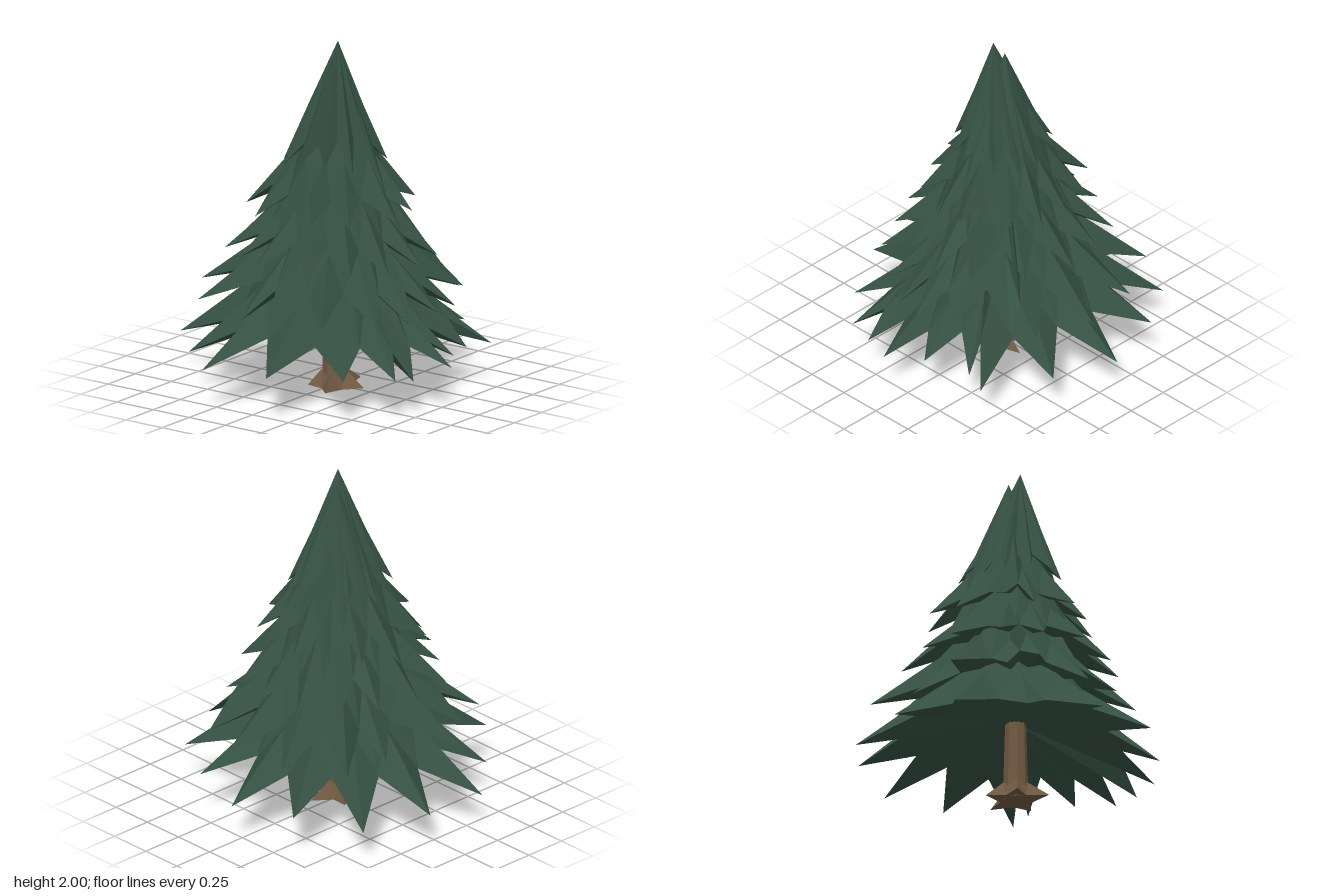
import * as THREE from 'three';

const needles = new THREE.MeshStandardMaterial({ color: 0x355143, flatShading: true });
needles.name = 'needle green';
const bark = new THREE.MeshStandardMaterial({ color: 0x715a42, flatShading: true });
bark.name = 'bark brown';

// Small seeded random generator
let seed = 11;
const rnd = () => (seed = (seed * 16807) % 2147483647) / 2147483647;
const vary = (amount) => (rnd() * 2 - 1) * amount;

function meshFrom(tris, material, name) {
  const g = new THREE.BufferGeometry().setFromPoints(tris);
  g.computeVertexNormals();
  const mesh = new THREE.Mesh(g, material);
  mesh.name = name;
  return mesh;
}

const polar = (r, a, y) => new THREE.Vector3(r * Math.cos(a), y, r * Math.sin(a));

// Evenly spread branch tips with some variation, as [x, z]
function spread(count, radius, start) {
  return Array.from({ length: count }, (_, i) => {
    const a = start + ((i + vary(0.18)) / count) * Math.PI * 2;
    const r = radius * (1 + vary(0.06));
    return [r * Math.cos(a), r * Math.sin(a)];
  });
}

// One star-shaped skirt: apex, a ridge to every tip, notches between, closed below
function makeTier({ name, tips, tipY, rise, apex }) {
  const top = new THREE.Vector3(...apex);
  const hub = new THREE.Vector3(-0.02, tipY + 0.23, 0.02);
  const branches = tips
    .map(([x, z]) => ({ a: Math.atan2(z, x), r: Math.hypot(x, z) }))
    .sort((p, q) => p.a - q.a);
  for (const b of branches) {
    b.tip = polar(b.r, b.a, tipY + vary(0.03));
    b.ridge = b.tip.clone().lerp(top, 0.5);
    b.ridge.y = tipY + rise + vary(0.02);
  }
  const n = branches.length;
  const tris = [];
  branches.forEach((b, i) => {
    const c = branches[(i + 1) % n];
    const gap = (c.a - b.a + Math.PI * 2) % (Math.PI * 2);
    const depth = THREE.MathUtils.clamp(1 - 0.75 * gap, 0.66, 0.85);
    const notch = polar(Math.min(b.r, c.r) * depth, b.a + gap / 2, tipY + rise * 0.4 + vary(0.02));
    tris.push(
      top, notch, b.ridge, b.ridge, notch, b.tip,
      top, c.ridge, notch, c.ridge, c.tip, notch,
      hub, b.tip, notch, hub, notch, c.tip
    );
  });
  return meshFrom(tris, needles, name);
}

// Trunk with flared, pointed roots
function makeTrunk() {
  const trunk = new THREE.Group();
  trunk.name = 'trunk';
  trunk.position.set(-0.02, 0, 0.02);

  const stem = new THREE.Mesh(new THREE.CylinderGeometry(0.055, 0.072, 0.6, 8), bark);
  stem.name = 'stem';
  stem.position.y = 0.3;
  trunk.add(stem);

  const rootTips = [[0.2, 0.03], [0.03, 0.18], [-0.18, 0.07], [-0.1, -0.11], [0.1, -0.14]];
  const n = rootTips.length;
  const center = new THREE.Vector3(0, 0, 0);
  const tris = [];
  const roots = rootTips.map(([x, z]) => {
    const a = Math.atan2(z, x);
    return { a, tip: new THREE.Vector3(x, 0.01, z), crown: polar(0.072, a, 0.1) };
  });
  roots.forEach((b, i) => {
    const c = roots[(i + 1) % n];
    const gap = (c.a - b.a + Math.PI * 2) % (Math.PI * 2);
    const low = polar(0.09, b.a + gap / 2, 0);
    const high = polar(0.066, b.a + gap / 2, 0.08);
    tris.push(
      b.crown, high, low, b.crown, low, b.tip,
      high, c.crown, low, c.crown, c.tip, low,
      center, b.tip, low, center, low, c.tip
    );
  });
  trunk.add(meshFrom(tris, bark, 'roots'));
  return trunk;
}

export function createModel() {
  seed = 11;
  const tree = new THREE.Group();
  tree.name = 'pineTree';
  tree.add(makeTrunk());

  const tiers = [
    {
      name: 'bottomBranches', tipY: 0.24, rise: 0.35, apex: [-0.01, 1.3, 0.01],
      tips: [
        [0.86, -0.03], [0.75, -0.41], [0.52, -0.73], [0.14, -0.87], [-0.27, -0.86], [-0.57, -0.58],
        [-0.86, -0.27], [-0.85, 0.17], [-0.63, 0.54], [-0.43, 0.75], [-0.29, 0.77], [-0.07, 0.87],
        [0.12, 0.74], [0.37, 0.64], [0.52, 0.7], [0.74, 0.35],
      ],
    },
    {
      name: 'lowerBranches', tipY: 0.51, rise: 0.33, apex: [0, 1.55, 0.02],
      tips: [
        [0.79, 0.08], [0.71, -0.28], [0.52, -0.6], [0.22, -0.6], [-0.18, -0.78], [-0.4, -0.55],
        [-0.59, -0.5], [-0.66, -0.15], [-0.68, 0.08], [-0.6, 0.36], [-0.36, 0.56], [-0.16, 0.66],
        [0.03, 0.71], [0.24, 0.66], [0.54, 0.49], [0.64, 0.38],
      ],
    },
    { name: 'middleBranches', tipY: 0.77, rise: 0.32, apex: [-0.01, 1.78, 0.03], tips: spread(14, 0.59, 0.15) },
    { name: 'upperBranches', tipY: 1.03, rise: 0.31, apex: [0.025, 1.94, 0.015], tips: spread(13, 0.47, 0.3) },
    { name: 'topBranches', tipY: 1.31, rise: 0.33, apex: [-0.03, 2, 0.05], tips: spread(12, 0.29, 0) },
  ];
  tiers.forEach((t) => tree.add(makeTier(t)));
  return tree;
}
